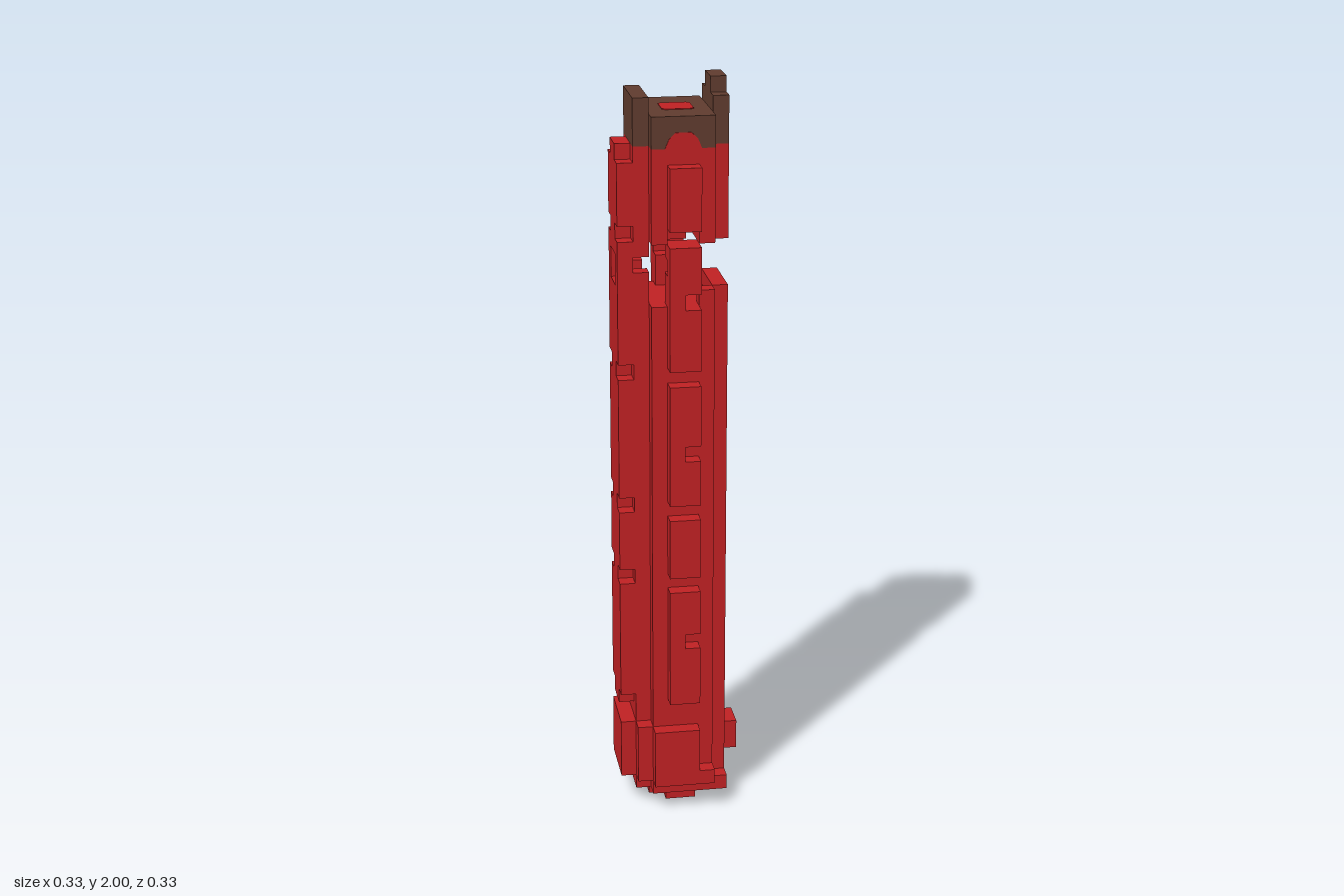
import * as THREE from 'three';

const U = 2 / 49; // one block

export function createModel() {
  const model = new THREE.Group();
  model.name = 'hilt';
  const red = new THREE.MeshStandardMaterial({ color: 0xbf2123 });
  red.name = 'red';
  const brown = new THREE.MeshStandardMaterial({ color: 0x5f3b2e });
  brown.name = 'brown';

  // box between block coordinates
  const box = (name, mat, x0, x1, y0, y1, z0, z1) => {
    const g = new THREE.BoxGeometry((x1 - x0) * U, (y1 - y0) * U, (z1 - z0) * U);
    g.translate((x0 + x1) * U / 2, (y0 + y1) * U / 2, (z0 + z1) * U / 2);
    const m = new THREE.Mesh(g, mat);
    m.name = name;
    model.add(m);
  };
  // the same box on the front and on the back
  const pair = (name, mat, x0, x1, y0, y1, z0, z1) => {
    box(name, mat, x0, x1, y0, y1, z0, z1);
    box(name, mat, x0, x1, y0, y1, -z1, -z0);
  };
  // square column with its four corner blocks cut out, r = half width
  const cross = (name, mat, r, y0, y1) => {
    box(name, mat, 1 - r, r - 1, y0, y1, -r, r);
    box(name, mat, -r, 1 - r, y0, y1, 1 - r, r - 1);
    box(name, mat, r - 1, r, y0, y1, 1 - r, r - 1);
  };

  // pommel
  cross('pommelTip', red, 2, 0, 1);
  cross('pommelStep', red, 3, 1, 2);
  box('pommelCorner', red, 2, 3, 1, 2, 2, 3);
  box('pommelCorner', red, 2, 3, 2, 6, -3, -2);
  pair('pommelCorner', red, -3, -2, 2, 6, 2, 3);
  pair('pommelPlate', red, -2, 1, 2, 6, 3, 4);
  pair('pommelPlateStep', red, 1, 2, 2, 3, 3, 4);
  box('pommelSidePlate', red, -4, -3, 2, 6, -2, 2);
  box('button', red, 3, 4, 3, 5, -1, 1);

  // grip and head
  cross('grip', red, 3, 2, 35);
  cross('head', red, 3, 40, 45);
  cross('collar', brown, 3, 45, 47);

  // grip plates; a notch is one block missing on the left
  const plates = [[8, 16, 12], [17, 21], [22, 30, 25], [31, 39, 35], [40, 44]];
  for (const [y0, y1, notch] of plates) {
    if (notch) {
      pair('gripPlate', red, -1, 0, y0, y1, 3, 4);
      pair('gripPlate', red, 0, 1, y0, notch, 3, 4);
      pair('gripPlate', red, 0, 1, notch + 1, y1, 3, 4);
    } else {
      pair('gripPlate', red, -1, 1, y0, y1, 3, 4);
    }
    pair('sidePlate', red, -4, -3, y0, y1, 1, 2);
  }
  box('sideRail', red, -4, -3, 7, 36, -1, 1);
  box('sideRailTop', red, -4, -3, 38, 45, -1, 1);

  // ragged edges of the break, below and above
  box('brokenWall', red, 2, 3, 35, 36, -2, 2);
  pair('brokenWall', red, 1, 2, 35, 36, 2, 3);
  pair('brokenShard', red, -1, 0, 35, 37, 2, 3);
  pair('brokenShard', red, 0, 1, 36, 37, 2, 3);
  pair('brokenShard', red, -3, -2, 35, 37, 1, 2);
  box('headEdge', red, 1, 2, 39, 40, -3, 3);
  box('headEdge', red, 2, 3, 39, 40, -2, 2);
  box('headEdge', red, -2, -1, 39, 40, -3, 3);
  box('headEdge', red, -3, -2, 38, 40, -2, 2);
  pair('headShard', red, -1, 1, 38, 39, 2, 3);

  // prongs
  box('rightProng', brown, -3, -2, 47, 48, -2, 2);
  box('leftProng', brown, 2, 3, 47, 48, -2, 2);
  box('leftProngTip', brown, 2, 3, 48, 49, -1, 1);

  // painted red patches on the collar
  const patch = (name, points) => {
    const shape = new THREE.Shape(points.map(([x, y]) => new THREE.Vector2(x * U, y * U)));
    const m = new THREE.Mesh(new THREE.ExtrudeGeometry(shape, { depth: 0.002, bevelEnabled: false }), red);
    m.name = name;
    model.add(m);
    return m;
  };
  const arch = [[-1.15, 45], [1.15, 45], [0.9, 45.6], [0.5, 46], [-0.5, 46], [-0.9, 45.6]];
  patch('frontPatch', arch).position.z = 3 * U;
  patch('backPatch', arch).position.z = -3 * U - 0.002;
  const spot = patch('topSpot', [[-1, -0.8], [-0.8, -1], [0.8, -1], [1, -0.8], [1, 0.8], [0.8, 1], [-0.8, 1], [-1, 0.8]]);
  spot.rotation.x = -Math.PI / 2;
  spot.position.y = 47 * U;

  return model;
}
